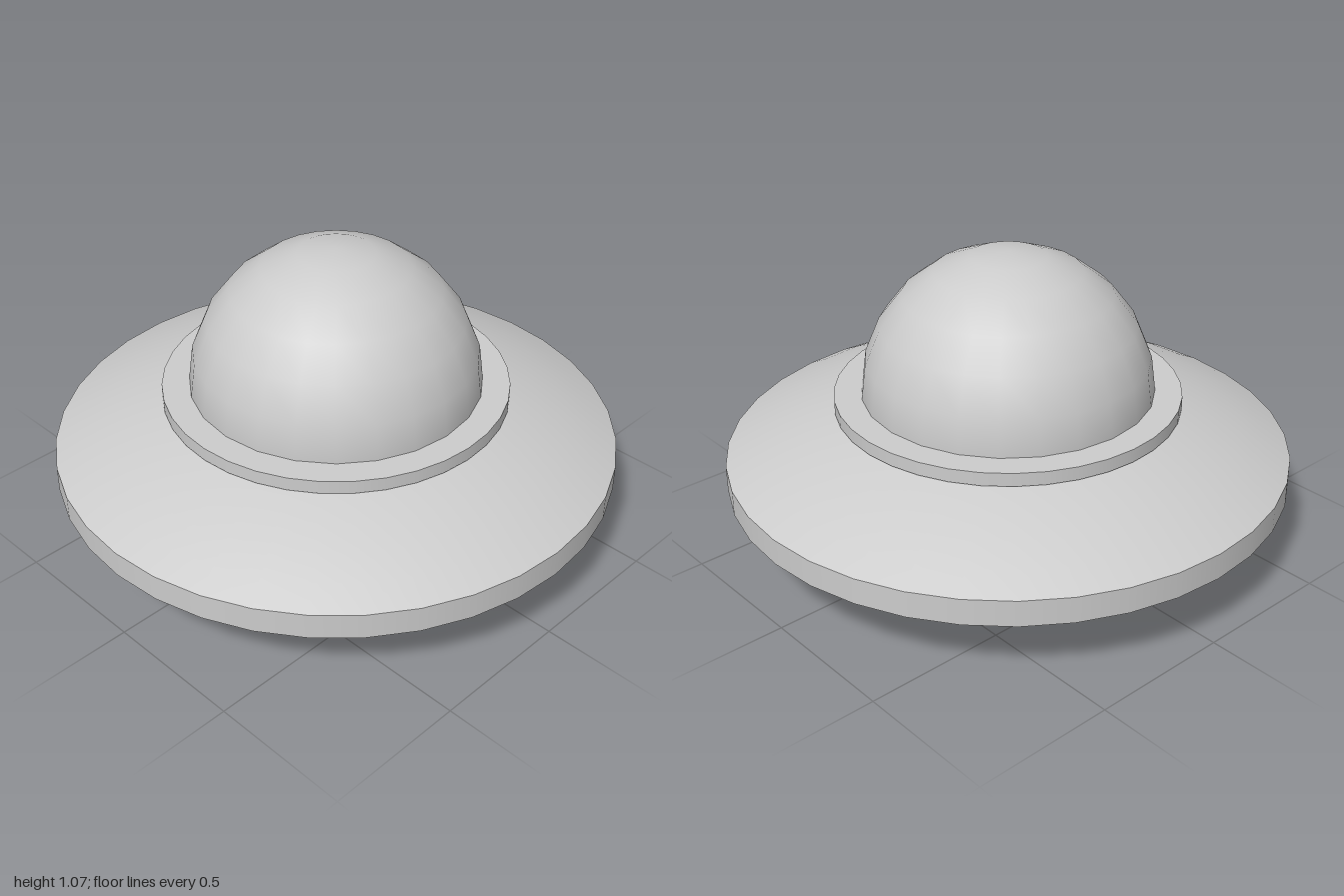
import * as THREE from 'three';

const material = new THREE.MeshStandardMaterial({ color: 0xcccccc });
const SIDES = 36;

function add(group, name, geometry, y = 0) {
  const mesh = new THREE.Mesh(geometry, material);
  mesh.name = name;
  mesh.position.y = y;
  group.add(mesh);
}

// Shallow spherical cap, pole at y = 0, bulging down, edge radius 1
function capGeometry(height, steps = 10) {
  const radius = (1 + height * height) / (2 * height);
  const sweep = Math.asin(1 / radius);
  const points = [];
  for (let i = 0; i <= steps; i++) {
    const a = (sweep * i) / steps;
    points.push(new THREE.Vector2(radius * Math.sin(a), radius * (1 - Math.cos(a))));
  }
  return new THREE.LatheGeometry(points, SIDES);
}

export function createModel() {
  const group = new THREE.Group();
  group.name = 'flyingSaucer';

  const capHeight = 0.25;
  const rimTop = 0.343;

  // Saucer: two matching caps joined by an upright rim
  add(group, 'lowerHull', capGeometry(capHeight));
  add(group, 'upperHull', capGeometry(capHeight).rotateX(Math.PI), rimTop + capHeight);
  add(group, 'rim',
    new THREE.CylinderGeometry(1, 1, rimTop - capHeight, SIDES, 1, true),
    (rimTop + capHeight) / 2);

  // Flat collar around the cockpit
  add(group, 'collar', new THREE.CylinderGeometry(0.612, 0.612, 0.048, SIDES), 0.531);

  // Half-sphere cockpit dome
  add(group, 'dome',
    new THREE.SphereGeometry(0.518, 24, 6, 0, Math.PI * 2, 0, Math.PI / 2), 0.547);

  return group;
}
